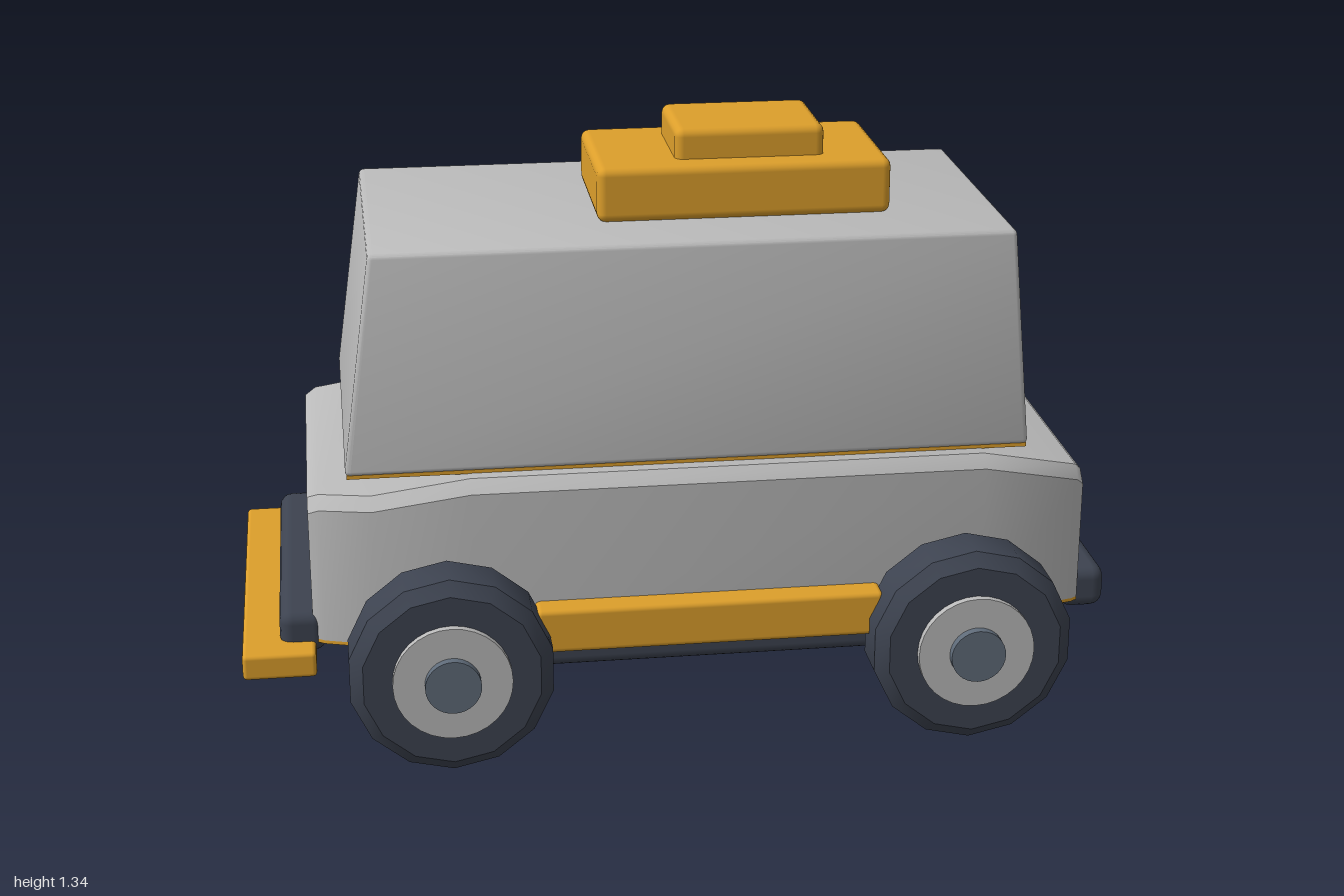
import * as THREE from 'three';
import { toCreasedNormals } from 'three/addons/utils/BufferGeometryUtils.js';
import { RoundedBoxGeometry } from 'three/addons/geometries/RoundedBoxGeometry.js';

const material = (name, color) => {
  const m = new THREE.MeshStandardMaterial({ color });
  m.name = name;
  return m;
};

// Body stations along x: [x, top height, half width]
const STATIONS = [
  [-0.84, 0.575, 0.36], [-0.815, 0.588, 0.378], [-0.7, 0.593, 0.415], [-0.48, 0.635, 0.445],
  [0.68, 0.635, 0.445], [0.915, 0.57, 0.38], [0.93, 0.555, 0.37],
];

// Closed hull through cross-sections with chamfered upper edges
function loft(stations, bottom, chamfer) {
  const pos = [], index = [], n = 6, last = (stations.length - 1) * n;
  for (const [x, t, w] of stations) {
    const half = [[w, bottom], [w, t - chamfer], [w - chamfer, t]];
    const ring = [...half, ...half.map(([z, y]) => [-z, y]).reverse()];
    ring.forEach(([z, y]) => pos.push(x, y, z));
  }
  for (let s = 0; s < last; s += n) {
    for (let i = 0; i < n; i++) {
      const j = (i + 1) % n;
      index.push(s + i, s + n + i, s + n + j, s + i, s + n + j, s + j);
    }
  }
  for (let i = 1; i < n - 1; i++) {
    index.push(0, i, i + 1, last, last + i + 1, last + i);
  }
  const g = new THREE.BufferGeometry();
  g.setAttribute('position', new THREE.Float32BufferAttribute(pos, 3));
  g.setIndex(index);
  return toCreasedNormals(g, 0.5);
}

// Cabin: a softened box that narrows towards the roof
function cabinGeometry() {
  const g = new RoundedBoxGeometry(1.545, 0.5, 0.78, 2, 0.012);
  const p = g.attributes.position;
  for (let i = 0; i < p.count; i++) {
    const k = p.getY(i) + 0.25; // 0 at the sill, 0.5 at the roof
    p.setX(i, p.getX(i) * (1 - 0.142 * k) + 0.0175 + 0.03 * k);
    p.setZ(i, p.getZ(i) * (1 - 0.16 * k));
  }
  g.translate(0, 0.89, 0);
  return toCreasedNormals(g, 0.6);
}

export function createModel() {
  const grey = material('body grey', 0xbababa);
  const orange = material('trim orange', 0xdd9f2b);
  const dark = material('rubber dark', 0x3d4350);
  const steel = material('cap steel', 0x5f6b79);
  const model = new THREE.Group();
  model.name = 'utilityVehicle';

  const add = (name, geometry, mat, parent = model) => {
    const mesh = new THREE.Mesh(geometry, mat);
    mesh.name = name;
    parent.add(mesh);
    return mesh;
  };
  // Rounded box given by its limits
  const block = (name, mat, [x0, x1], [y0, y1], [z0, z1], r) =>
    add(name, new RoundedBoxGeometry(x1 - x0, y1 - y0, z1 - z0, 2, r), mat)
      .position.set((x0 + x1) / 2, (y0 + y1) / 2, (z0 + z1) / 2);

  // Lower body with its painted underside
  add('lowerBody', loft(STATIONS, 0.244, 0.028), grey);
  add('underside', loft(STATIONS.map(([x, , w]) => [x, 0.244, w]), 0.236, 0), orange);
  block('chassis', dark, [-0.75, 0.85], [0.13, 0.222], [-0.353, 0.353], 0.025);

  // Cabin and its sill
  add('cabin', cabinGeometry(), grey);
  add('cabinSill', new THREE.BoxGeometry(1.536, 0.009, 0.772), orange).position.set(0.0175, 0.6385, 0);

  // Roof unit
  block('roofUnitBase', orange, [-0.168, 0.5], [1.138, 1.265], [-0.187, 0.187], 0.02);
  block('roofUnitTop', orange, [0.015, 0.356], [1.24, 1.335], [-0.128, 0.128], 0.02);

  // Bumpers and the low step beyond the -x end
  block('rearBumper', dark, [-0.915, -0.81], [0.208, 0.31], [-0.37, 0.37], 0.03);
  block('frontBumper', dark, [0.895, 1], [0.208, 0.31], [-0.365, 0.365], 0.03);
  block('step', orange, [-1, -0.835], [0.18, 0.24], [-0.433, 0.433], 0.01);

  // Side rails
  for (const s of [-1, 1]) {
    block('sideRail', orange, [-0.345, 0.44], [0.238, 0.342], [s * 0.455 - 0.047, s * 0.455 + 0.047], 0.012);
  }

  // Wheels: chamfered fourteen-sided tyre, hub disc and cap, facing +z
  const profile = [[0, -0.078], [0.2, -0.078], [0.23, -0.052], [0.23, 0.052], [0.2, 0.078], [0, 0.078]];
  const tyre = toCreasedNormals(
    new THREE.LatheGeometry(profile.map(([r, y]) => new THREE.Vector2(r, y)), 14).rotateX(Math.PI / 2), 0.5);
  const disc = (r, depth) => new THREE.CylinderGeometry(r, r, depth, 32).rotateX(Math.PI / 2);
  const hub = disc(0.132, 0.03), cap = disc(0.062, 0.05);
  for (const x of [-0.54, 0.633]) {
    for (const s of [-1, 1]) {
      const wheel = new THREE.Group();
      wheel.name = 'wheel';
      add('tyre', tyre, dark, wheel);
      add('hub', hub, grey, wheel).position.z = 0.08;
      add('hubCap', cap, steel, wheel).position.z = 0.09;
      wheel.position.set(x, 0.23, s * 0.512);
      if (s < 0) wheel.rotation.y = Math.PI;
      model.add(wheel);
    }
  }
  return model;
}
